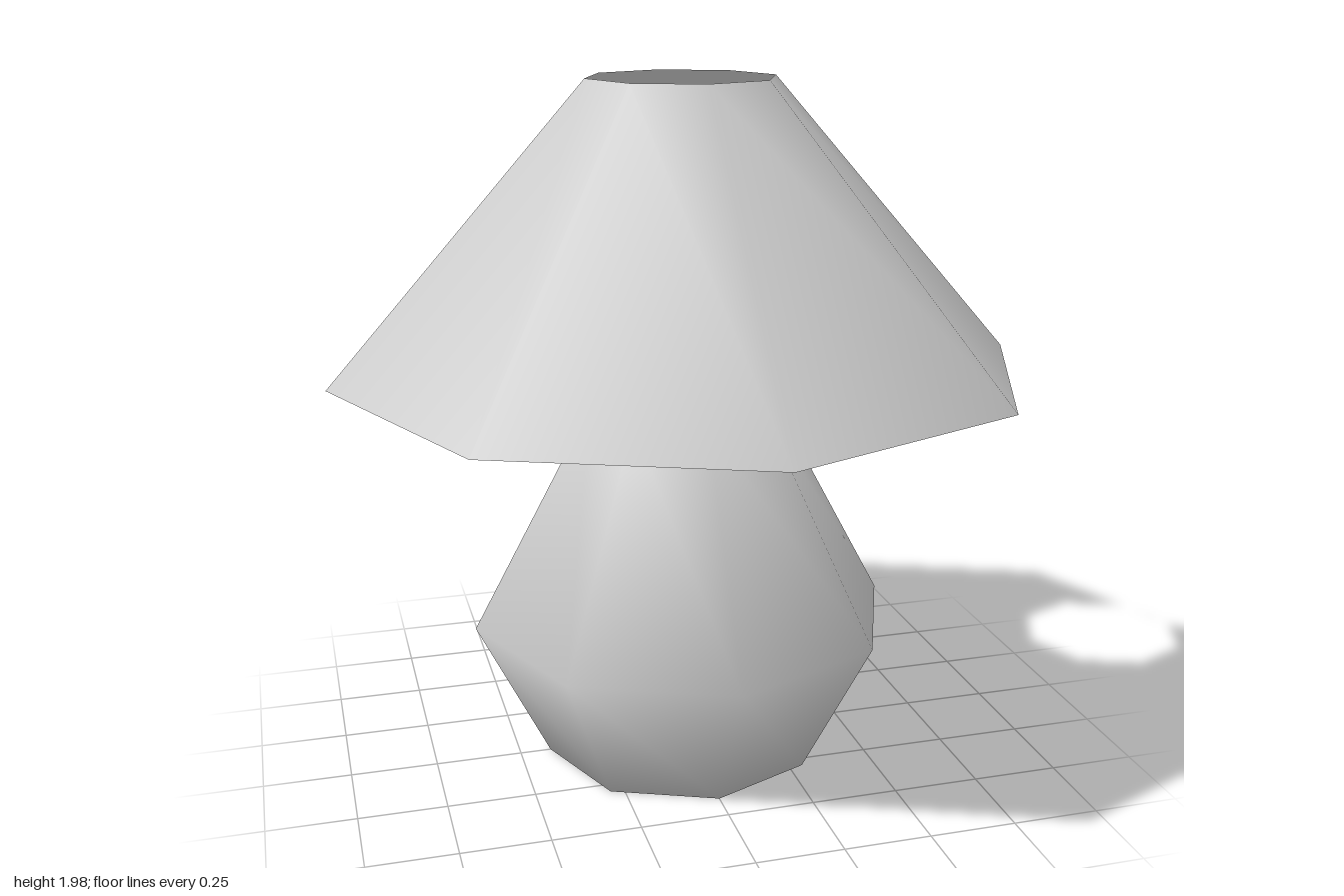
import * as THREE from 'three';

const SIDES = 8;

// Smooth-shaded octagonal solid turned from [radius, height] points, bottom to top
function turned(name, profile, material) {
  const points = profile.map(([r, y]) => new THREE.Vector2(r, y));
  const mesh = new THREE.Mesh(new THREE.LatheGeometry(points, SIDES), material);
  mesh.name = name;
  return mesh;
}

export function createModel() {
  const lamp = new THREE.Group();
  lamp.name = 'tableLamp';

  const grey = new THREE.MeshStandardMaterial({ color: 0xcccccc, side: THREE.DoubleSide });
  grey.name = 'plain grey';

  // Closed, wide-bellied base
  const base = turned('lampBase', [[0, 0], [0.41, 0], [0.62, 0.42], [0.27, 1.065], [0, 1.065]], grey);

  // Thin shade, open at both ends, floating above the base
  const shade = turned('lampShade', [[1, 1.165], [0.27, 1.98]], grey);
  shade.scale.z = 0.99;

  lamp.add(base, shade);
  return lamp;
}
